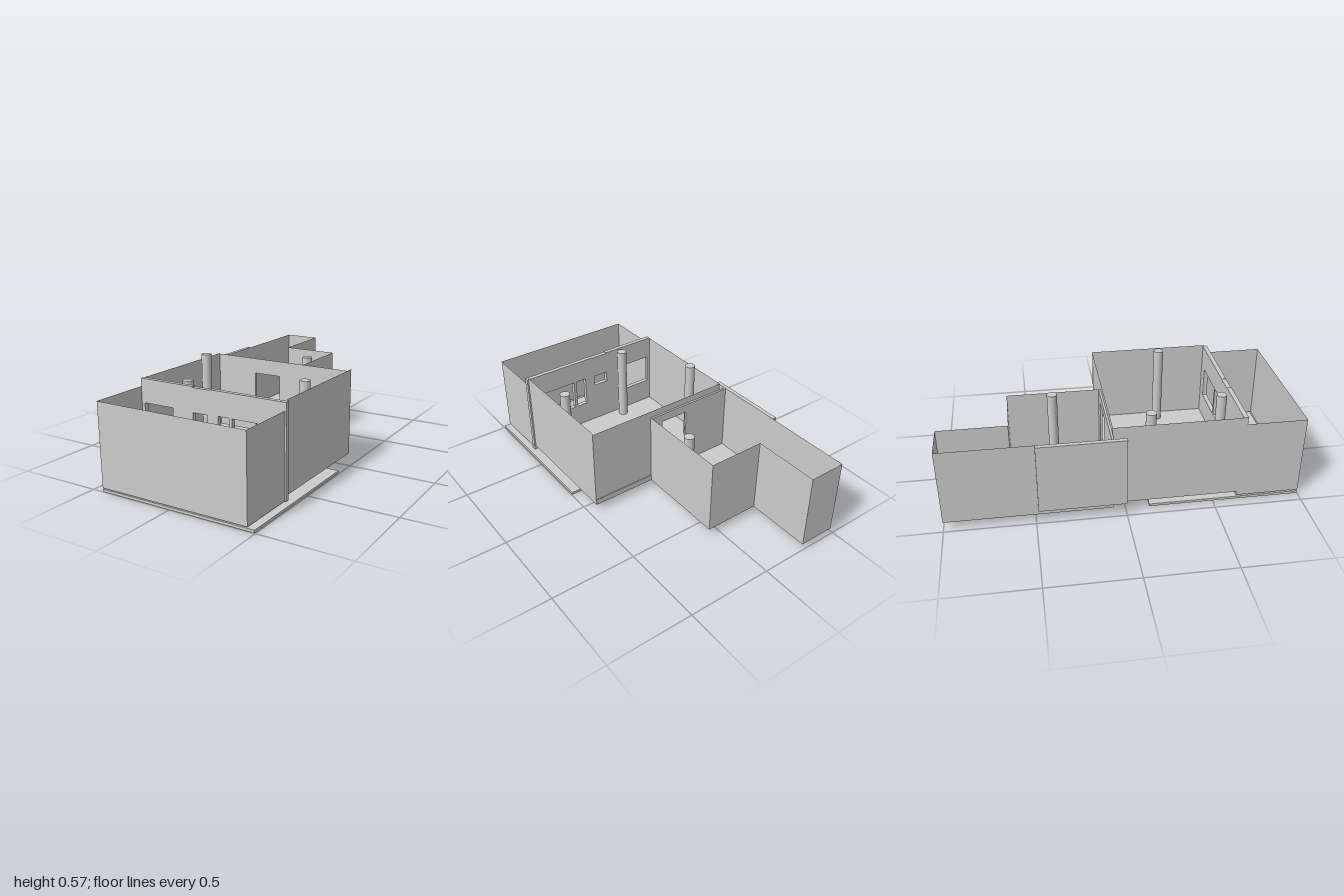
import * as THREE from 'three';

const thin = new THREE.MeshStandardMaterial({ color: 0xcccccc, flatShading: true, side: THREE.DoubleSide });
const smooth = new THREE.MeshStandardMaterial({ color: 0xcccccc });

export function createModel() {
  const model = new THREE.Group();
  const add = (name, geometry, material = thin) => {
    const mesh = new THREE.Mesh(geometry, material);
    mesh.name = name;
    model.add(mesh);
    return mesh;
  };

  // Solid block given by its extents
  const block = (name, x0, x1, y0, y1, z0, z1) =>
    add(name, new THREE.BoxGeometry(x1 - x0, y1 - y0, z1 - z0))
      .position.set((x0 + x1) / 2, (y0 + y1) / 2, (z0 + z1) / 2);

  // Thin upright sheets following a plan path of [x, z] points
  const wallRun = (name, path, y0, y1) => {
    for (let i = 0; i < path.length - 1; i++) {
      const [ax, az] = path[i], [bx, bz] = path[i + 1];
      const wall = add(name, new THREE.PlaneGeometry(Math.hypot(bx - ax, bz - az), y1 - y0));
      wall.position.set((ax + bx) / 2, (y0 + y1) / 2, (az + bz) / 2);
      wall.rotation.y = -Math.atan2(bz - az, bx - ax);
    }
  };

  // Upright rectangle in x, y with rectangular openings [x0, x1, y0, y1]
  const rect = (Type, x0, x1, y0, y1) => new Type([
    new THREE.Vector2(x0, y0), new THREE.Vector2(x1, y0),
    new THREE.Vector2(x1, y1), new THREE.Vector2(x0, y1)]);
  const pierced = (x0, x1, y0, y1, openings) => {
    const shape = rect(THREE.Shape, x0, x1, y0, y1);
    shape.holes = openings.map((o) => rect(THREE.Path, ...o));
    return shape;
  };
  const piercedWall = (name, shape, z0, z1) =>
    add(name, new THREE.ExtrudeGeometry(shape, { depth: z1 - z0, bevelEnabled: false })).position.z = z0;

  // Floors
  block('groundSlab', -0.437, 0.495, 0, 0.015, 0.135, 0.998);
  block('middleFloor', -0.434, 0.452, 0.045, 0.08, -0.074, 0.636);
  block('backFloor', -0.474, 0.068, 0.043, 0.085, -0.612, -0.074);
  block('alcoveFloor', -0.474, -0.26, 0.043, 0.085, -0.997, -0.612);

  // Outer walls, open at the top
  wallRun('frontRoomWall', [[-0.434, 0.66], [-0.434, 1], [0.457, 1], [0.457, 0.66]], 0.022, 0.49);
  wallRun('middleRightWall', [[-0.434, -0.072], [-0.434, 0.64]], 0.045, 0.533);
  wallRun('middleLeftWall', [[0.457, -0.072], [0.457, 0.64]], 0.045, 0.542);
  wallRun('backRoomWall', [[-0.475, -0.07], [-0.475, -1], [-0.26, -1], [-0.26, -0.614],
    [0.07, -0.614], [0.07, -0.07]], 0.045, 0.49);
  block('outerPanel', -0.5, -0.475, 0.08, 0.49, -0.485, 0);

  // Wall with doorway between middle and back rooms
  const door = [-0.175, -0.005, 0.086, 0.44];
  add('middleBackWall', new THREE.ShapeGeometry(pierced(-0.434, 0.457, 0.045, 0.53, [door])))
    .position.z = -0.07;
  piercedWall('doorwayWall', pierced(-0.474, 0.07, 0.045, 0.49, [door]), -0.083, -0.071);

  // Partition with windows, in three sections
  piercedWall('partitionRight', pierced(-0.434, -0.095, 0.022, 0.535, [[-0.415, -0.225, 0.22, 0.4]]), 0.637, 0.663);
  piercedWall('partitionCentre', pierced(-0.095, 0.015, 0.024, 0.53, [[-0.093, 0.0, 0.33, 0.395]]), 0.637, 0.663);
  piercedWall('partitionLeft', pierced(0.015, 0.466, 0.022, 0.533,
    [[0.065, 0.132, 0.22, 0.4], [0.15, 0.39, 0.22, 0.4]]), 0.637, 0.663);

  // Round columns: x, z, top
  for (const [x, z, top] of [[-0.38, 0.143, 0.575], [0.385, 0.333, 0.56],
    [-0.18, 0.585, 0.54], [0.022, -0.358, 0.505]]) {
    add('column', new THREE.CylinderGeometry(0.029, 0.029, top - 0.07, 32), smooth)
      .position.set(x, (top + 0.07) / 2, z);
  }
  return model;
}
